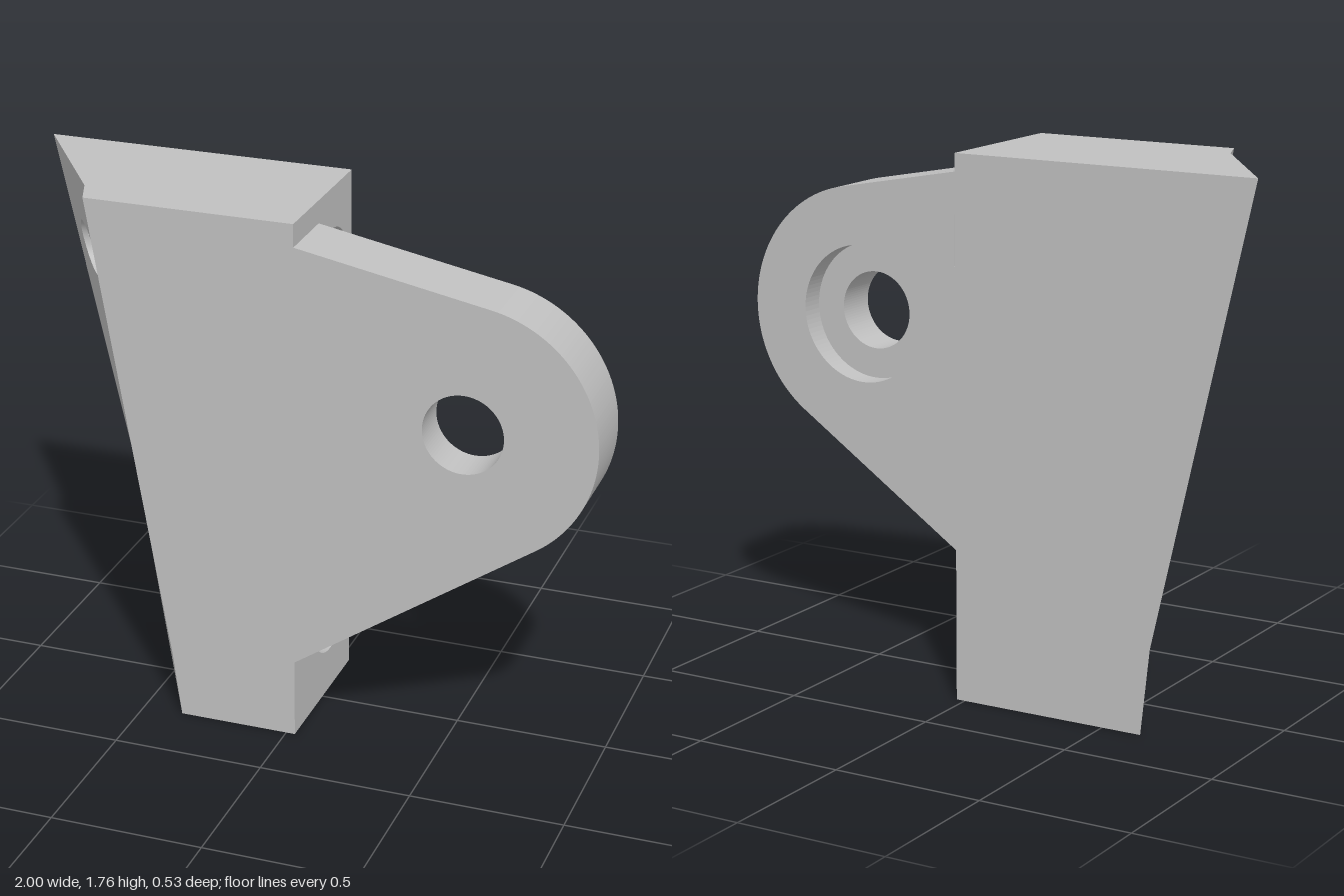
import * as THREE from 'three';

const HEIGHT = 1.76, BACK = -0.265, FRONT = 0.265, RIGHT = 0.03;
const HOLE_Z = -0.075, HOLE_YS = [1.46, 0.31];
const BORE = 0.085, POCKET = 0.165, POCKET_FLOOR = -0.3;
const GROOVE_END = 0.22, LUG_BACK = 0.04, LUG_STEP = 0.12;
const EYE = { x: 0.575, y: 1.15, r: 0.425 };

export function createModel() {
  const model = new THREE.Group();
  const grey = new THREE.MeshStandardMaterial({ color: 0xc0c0c0, side: THREE.DoubleSide });
  grey.name = 'grey metal';

  const add = (name, geometry, parent = model) => {
    const mesh = new THREE.Mesh(geometry, grey);
    mesh.name = name;
    parent.add(mesh);
    return mesh;
  };
  const outline = (points) => new THREE.Shape(points.map(([u, v]) => new THREE.Vector2(u, v)));
  const circle = (x, y, r) => new THREE.Path().absarc(x, y, r, 0, Math.PI * 2, true);

  // Applies a rule to every vertex
  const reshape = (geometry, rule) => {
    const p = geometry.attributes.position;
    for (let i = 0; i < p.count; i++) p.setXYZ(i, ...rule(p.getX(i), p.getY(i), p.getZ(i)));
    geometry.computeVertexNormals();
    return geometry;
  };

  // Flat panel drawn in 2D and mapped into place
  const panel = (points, rule, flip = false, holes = []) => {
    const shape = outline(points);
    shape.holes.push(...holes);
    const g = new THREE.ShapeGeometry(shape, 32);
    if (flip) {
      const a = g.index.array;
      for (let i = 0; i < a.length; i += 3) [a[i + 1], a[i + 2]] = [a[i + 2], a[i + 1]];
    }
    return reshape(g, rule);
  };

  // Slanted plane of the block's left side
  const slant = (y, z) => -1 + (HEIGHT - y) * 0.2264 + (z - BACK) * 0.706;
  const bendTop = [0.16, HEIGHT], bendLow = [0.045, 0];

  // Wedge-shaped block
  const block = new THREE.Group();
  block.name = 'block';
  model.add(block);
  const frontEdge = [[-0.66, HEIGHT], [-0.395, 0.22], [-0.365, 0]];
  const backEdge = [[-1, HEIGHT], [-0.665, 0.28], [-0.635, 0]];
  const side = [[RIGHT, 0], [RIGHT, HEIGHT]];
  add('blockFront', panel([...frontEdge, ...side], (x, y) => [x, y, FRONT]), block);
  add('blockBack', panel([...backEdge, ...side], (x, y) => [x, y, BACK], true), block);

  const cap = (xBack, bendZ, xBend, xFront) =>
    [[xBack, BACK], [xBend, bendZ], [xFront, FRONT], [RIGHT, FRONT], [RIGHT, BACK]];
  const bendX = ([z, y]) => slant(y, z);
  add('blockTop', panel(cap(-1, bendTop[0], bendX(bendTop), -0.66),
    (x, z) => [x, HEIGHT, z], true), block);
  add('blockBottom', panel(cap(-0.635, bendLow[0], bendX(bendLow), -0.365),
    (x, z) => [x, 0, z]), block);

  const holes = (r) => HOLE_YS.map((y) => circle(HOLE_Z, y, r));
  add('blockRight', panel([[BACK, 0], [FRONT, 0], [FRONT, HEIGHT], [BACK, HEIGHT]],
    (z, y) => [RIGHT, y, z], true, holes(POCKET)), block);

  // Left side: main slant, lower corner facet and narrow front strip
  add('leftSlant', panel([[BACK, HEIGHT], [BACK, 0.28], bendLow, bendTop],
    (z, y) => [slant(y, z), y, z], false, holes(BORE)), block);
  add('leftLowerFacet', panel([[BACK, 0.28], [BACK, 0], bendLow],
    (z, y) => [z > BACK + 0.01 ? bendX(bendLow) : y > 0.1 ? -0.665 : -0.635, y, z]), block);
  const frontX = (y) => (y > 0.22
    ? -0.395 - (y - 0.22) * (0.265 / 1.54) : -0.365 - y * (0.03 / 0.22));
  add('leftFrontStrip', panel([bendTop, bendLow, [FRONT, 0], [FRONT, 0.22], [FRONT, HEIGHT]],
    (z, y) => [z > FRONT - 0.01 ? frontX(y) : slant(y, z), y, z]), block);

  // Bolt holes: narrow bore from the slant, wide pocket from the right
  const wall = (r, cy, start, end) => reshape(
    new THREE.CylinderGeometry(r, r, 1, 48, 1, true).rotateZ(Math.PI / 2),
    (x, y, z) => {
      const Y = y + cy, Z = z + HOLE_Z;
      return [x < 0 ? start(Y, Z) : end, Y, Z];
    });
  for (const y of HOLE_YS) {
    add('boltBore', wall(BORE, y, slant, POCKET_FLOOR), block);
    add('boltPocket', wall(POCKET, y, () => POCKET_FLOOR, RIGHT), block);
    add('boltSeat', new THREE.RingGeometry(BORE, POCKET, 48).rotateY(Math.PI / 2)
      .translate(POCKET_FLOOR, y, HOLE_Z), block);
  }

  // Lug plate with a rounded end and a stepped eye hole
  const bottom = (x) => 0.265 + 0.68 * (x - RIGHT);
  const top = (x) => 1.685 - 0.189 * (x - RIGHT);
  const lugLayer = (x0, z0, z1, holeRadius) => {
    const s = new THREE.Shape();
    s.moveTo(x0, top(x0));
    s.lineTo(x0, bottom(x0));
    s.absarc(EYE.x, EYE.y, EYE.r, -55.6 * Math.PI / 180, 79.1 * Math.PI / 180, false);
    s.closePath();
    s.holes.push(circle(EYE.x, EYE.y, holeRadius));
    return new THREE.ExtrudeGeometry(s, { depth: z1 - z0, bevelEnabled: false, curveSegments: 48 })
      .translate(0, 0, z0);
  };
  const lug = new THREE.Group();
  lug.name = 'lug';
  model.add(lug);
  add('lugFront', lugLayer(RIGHT, LUG_STEP, FRONT, 0.13), lug);
  add('lugBack', lugLayer(GROOVE_END, LUG_BACK, LUG_STEP, 0.23), lug);

  // Lug root, grooved where the bolt pockets run out along x
  const half = (z) => Math.sqrt(Math.max(0, POCKET ** 2 - (z - HOLE_Z) ** 2));
  const [upper, lower] = HOLE_YS;
  const rootBand = (low, high) => reshape(
    new THREE.BoxGeometry(GROOVE_END - RIGHT, 1, LUG_STEP - LUG_BACK, 16, 1, 32)
      .translate((RIGHT + GROOVE_END) / 2, 0, (LUG_BACK + LUG_STEP) / 2),
    (x, y, z) => [x, y < 0 ? low(x, half(z)) : high(x, half(z)), z]);
  add('lugRootLower', rootBand((x) => bottom(x), (x, h) => Math.max(bottom(x), lower - h)), lug);
  add('lugRootMiddle', rootBand((x, h) => Math.max(bottom(x), lower + h), (x, h) => upper - h), lug);
  add('lugRootUpper', rootBand((x, h) => upper + h, (x) => top(x)), lug);

  return model;
}
